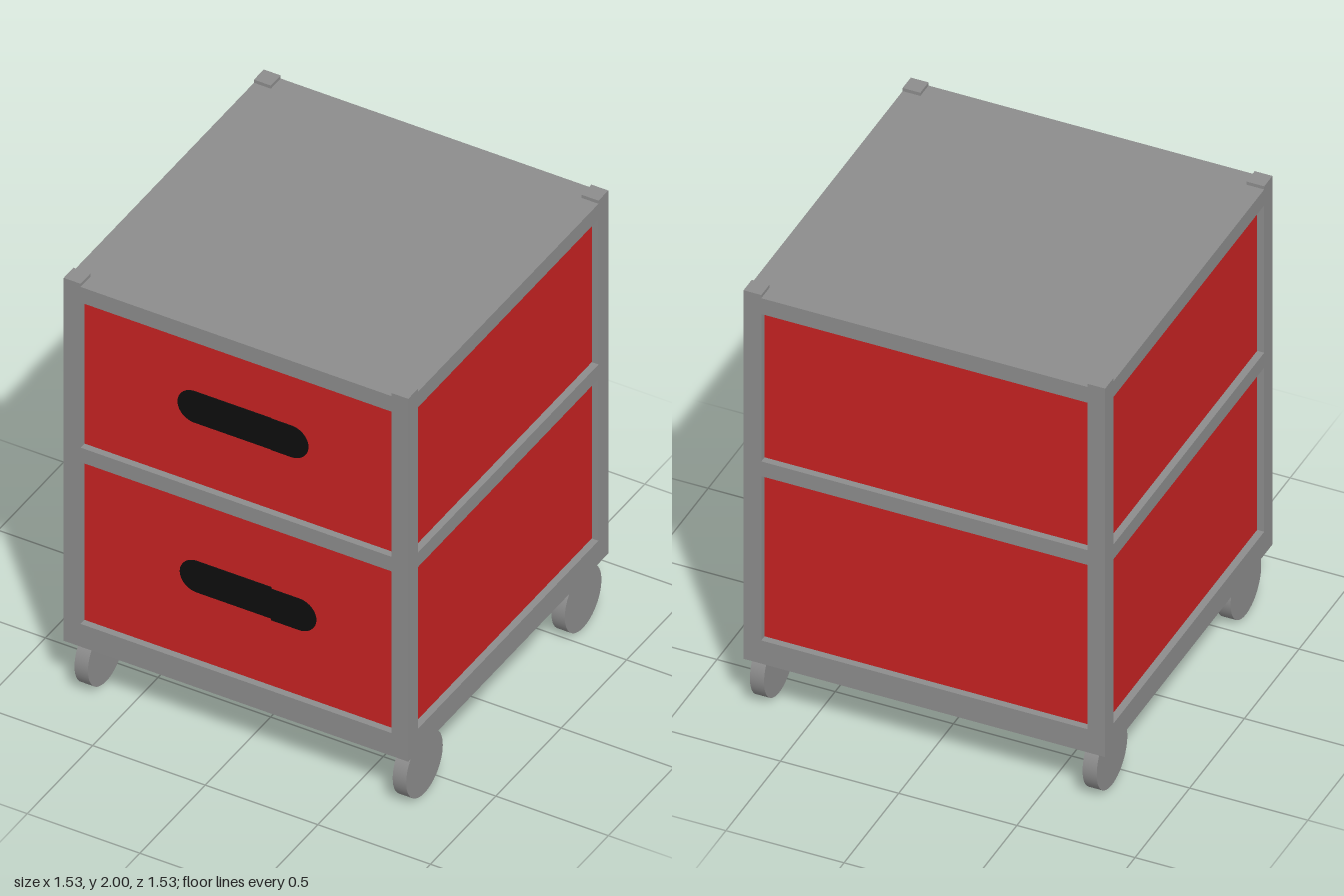
import * as THREE from 'three';

export function createModel() {
  const model = new THREE.Group();
  model.name = 'drawerCart';

  const mat = (name, color) => {
    const m = new THREE.MeshStandardMaterial({ color });
    m.name = name;
    return m;
  };
  const grey = mat('frameGrey', 0x8c8c8c);
  const red = mat('drawerRed', 0xc62222);
  const black = mat('handleBlack', 0x0d0d0d);

  const add = (name, geometry, material, x, y, z) => {
    const mesh = new THREE.Mesh(geometry, material);
    mesh.name = name;
    mesh.position.set(x, y, z);
    model.add(mesh);
    return mesh;
  };
  const box = (name, material, w, h, d, x, y, z) =>
    add(name, new THREE.BoxGeometry(w, h, d), material, x, y, z);

  const HALF = 0.765, POST = 0.075, INNER = HALF - POST;
  const edge = HALF - POST / 2, span = INNER * 2;
  const PANEL = HALF - 0.03; // recessed drawer faces

  // Corner posts, standing slightly proud of the top
  for (const x of [-edge, edge])
    for (const z of [-edge, edge]) box('cornerPost', grey, POST, 1.75, POST, x, 1.125, z);

  // Horizontal rails on all four sides: bottom, middle, top
  for (const [y0, y1] of [[0.25, 0.36], [1.14, 1.21], [1.91, 1.985]]) {
    const h = y1 - y0, y = (y0 + y1) / 2;
    for (const s of [-1, 1]) {
      box('rail', grey, span, h, POST, 0, y, s * edge);
      box('sideRail', grey, POST, h, span, s * edge, y, 0);
    }
  }

  // Top and base boards fill the frame
  box('topBoard', grey, span, 0.07, span, 0, 1.95, 0);
  box('baseBoard', grey, span, 0.1, span, 0, 0.3, 0);

  // Drawer bodies, showing as red panels on every side
  box('lowerDrawer', red, PANEL * 2, 0.82, PANEL * 2, 0, 0.75, 0);
  box('upperDrawer', red, PANEL * 2, 0.74, PANEL * 2, 0, 1.56, 0);

  // Hand slots: thin rounded plates with a small step along the edges
  const slot = (name, x0, x1, y, drop, stepX) => {
    const r = 0.075, s = new THREE.Shape();
    s.absarc(x0, y, r, Math.PI / 2, Math.PI * 1.5, false);
    s.lineTo(stepX, y - r);
    s.lineTo(stepX, y - r - drop);
    s.absarc(x1, y - drop, r, -Math.PI / 2, Math.PI / 2, false);
    s.lineTo(stepX, y + r - drop);
    s.lineTo(stepX, y + r);
    const g = new THREE.ExtrudeGeometry(s, { depth: 0.004, bevelEnabled: false, curveSegments: 12 });
    add(name, g, black, 0, 0, PANEL);
  };
  slot('upperHandle', -0.2, 0.23, 1.575, 0.002, 0.14);
  slot('lowerHandle', -0.19, 0.265, 0.76, 0.008, 0.14);

  // Disc wheels
  const wheel = new THREE.CylinderGeometry(0.14, 0.14, 0.06, 48).rotateZ(Math.PI / 2);
  for (const [x, z] of [[-0.69, 0.62], [0.723, 0.62], [-0.69, -0.605], [0.723, -0.593]])
    add('wheel', wheel, grey, x, 0.14, z);

  return model;
}
